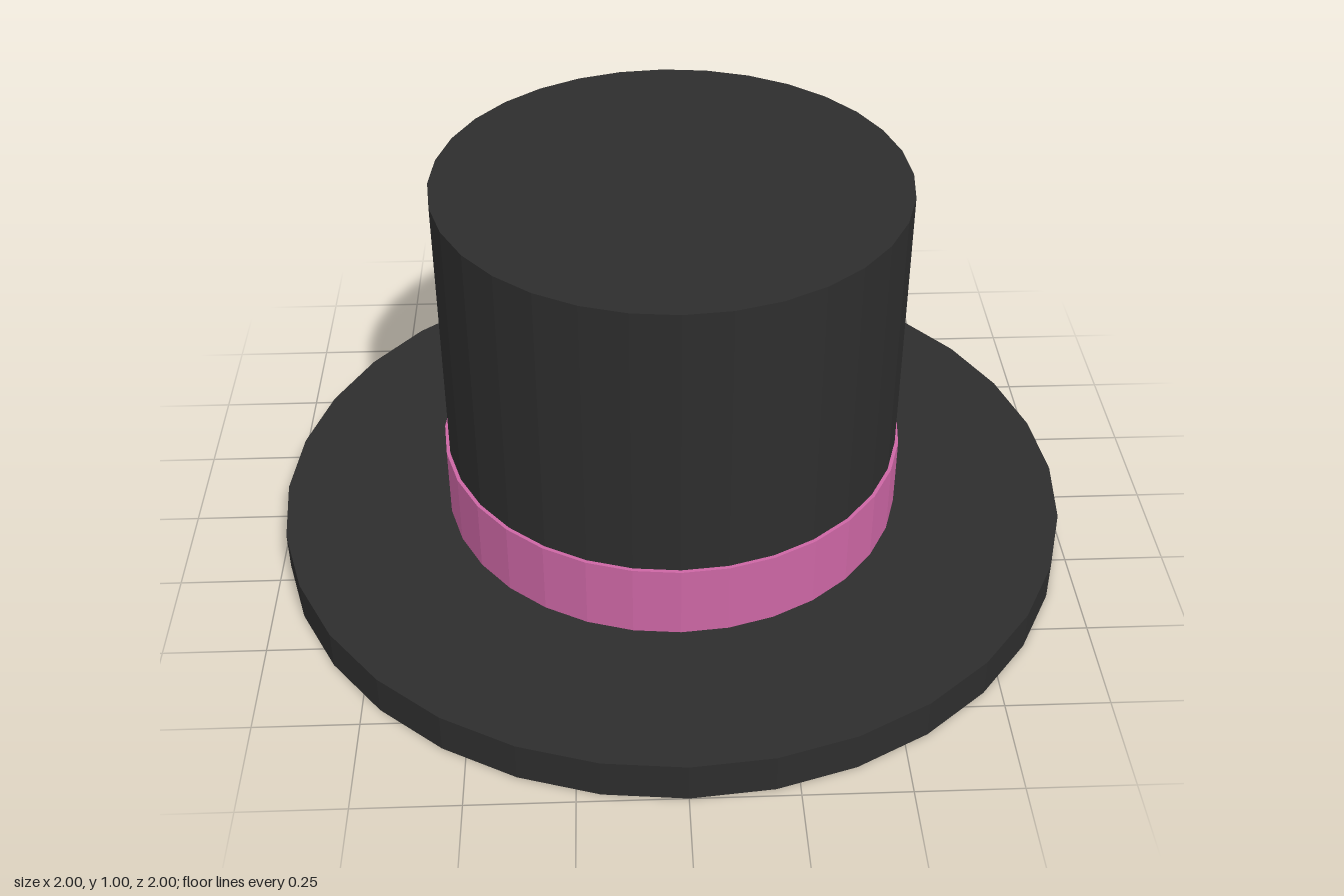
import * as THREE from 'three';

const SIDES = 32;

export function createModel() {
  const felt = new THREE.MeshStandardMaterial({ color: 0x2d2d2d, flatShading: true });
  felt.name = 'black felt';
  const ribbon = new THREE.MeshStandardMaterial({ color: 0xcc66a4, flatShading: true });
  ribbon.name = 'pink ribbon';

  const hat = new THREE.Group();
  hat.name = 'topHat';

  // Upright faceted disc or drum between two heights
  function drum(name, radius, bottom, top, material) {
    const geometry = new THREE.CylinderGeometry(radius, radius, top - bottom, SIDES);
    const mesh = new THREE.Mesh(geometry, material);
    mesh.name = name;
    mesh.position.y = (bottom + top) / 2;
    hat.add(mesh);
  }

  drum('brim', 1, 0, 0.1, felt);
  drum('crown', 0.571, 0.1, 1, felt);
  drum('hatBand', 0.58, 0.1, 0.288, ribbon);

  return hat;
}
